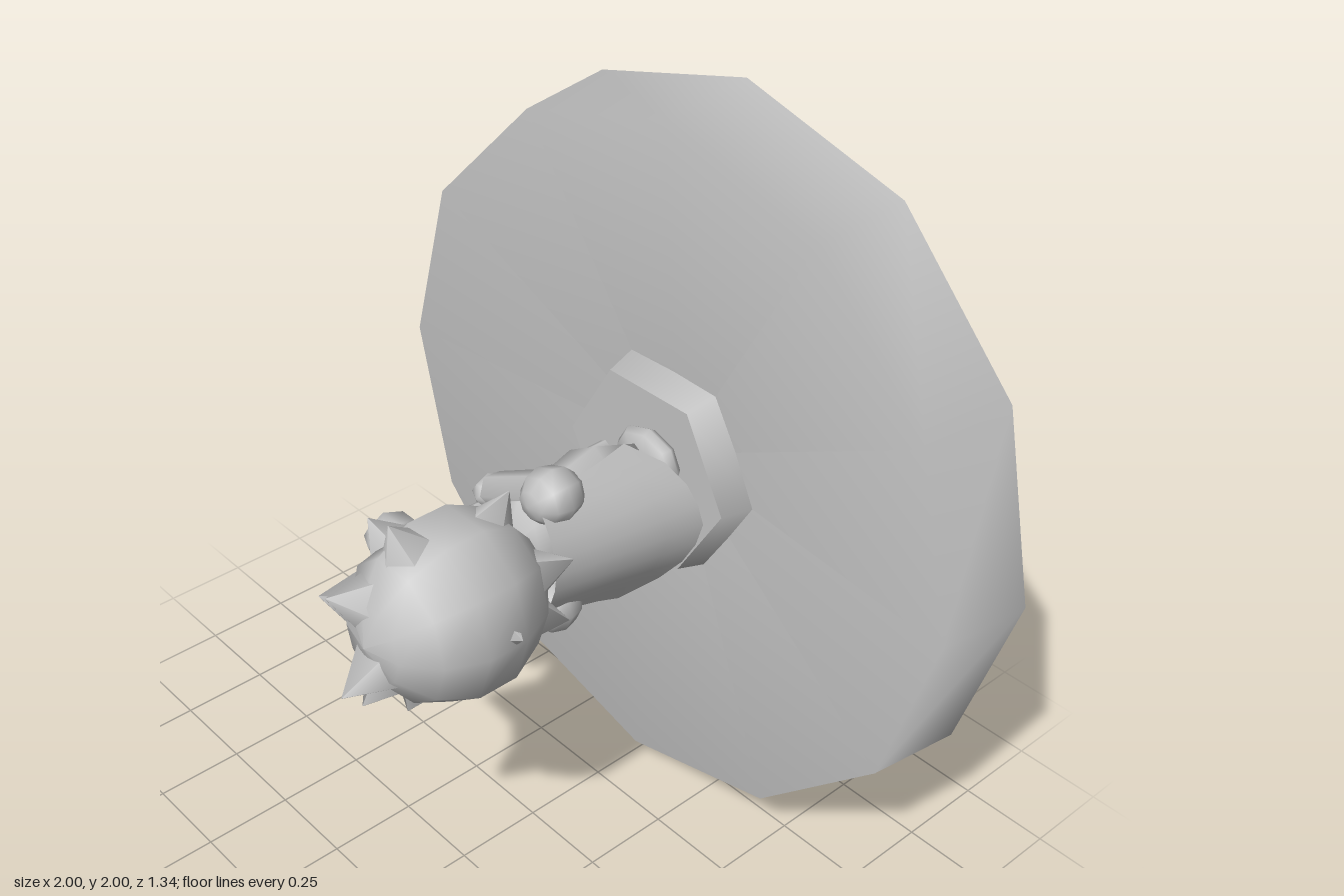
import * as THREE from 'three';

const V = (x, y, z) => new THREE.Vector3(x, y, z);

export function createModel() {
  const model = new THREE.Group();
  const stone = new THREE.MeshStandardMaterial({ color: 0xc0c0c0, side: THREE.DoubleSide });
  stone.name = 'plain grey';

  const add = (name, geometry) => {
    const mesh = new THREE.Mesh(geometry, stone);
    mesh.name = name;
    model.add(mesh);
    return mesh;
  };

  // Low-sided ellipsoid with its poles along z
  const blob = (name, c, s, w = 8, h = 6) => {
    const g = new THREE.SphereGeometry(1, w, h).rotateX(Math.PI / 2);
    g.scale(...s).translate(...c);
    return add(name, g);
  };

  // Tapered cylinder from a to b
  const limb = (name, a, b, ra, rb, sides = 6) => {
    const d = b.clone().sub(a);
    const g = new THREE.CylinderGeometry(rb, ra, d.length(), sides);
    g.applyQuaternion(new THREE.Quaternion().setFromUnitVectors(V(0, 1, 0), d.clone().normalize()));
    const m = a.clone().add(b).multiplyScalar(0.5);
    g.translate(m.x, m.y, m.z);
    return add(name, g);
  };

  // Turned profile of [radius, z] points around the z axis
  const turned = (name, profile, sides, x, y, sx = 1, sy = 1) => {
    const g = new THREE.LatheGeometry(profile.map(p => new THREE.Vector2(...p)), sides);
    g.rotateX(Math.PI / 2).scale(sx, sy, 1).translate(x, y, 0);
    return add(name, g);
  };

  // Twelve-sided dish, open at the back, with a sunken centre
  turned('dish', [[1, -0.67], [0.97, -0.4], [0, -0.505]], 12, 0, 1);

  // Hexagonal pedestal under the figure
  const hex = new THREE.CylinderGeometry(0.28, 0.31, 0.107, 6, 1, false, Math.PI / 2);
  add('pedestal', hex.rotateX(Math.PI / 2).translate(0, 1, -0.4385));

  // Body, standing along +z and facing -x
  turned('torso', [[0, -0.32], [0.09, -0.31], [0.125, -0.17], [0.1, -0.03], [0.09, 0.08], [0, 0.12]], 8, 0.035, 1, 1, 1.5);

  for (const s of [-1, 1]) {
    blob('boot', [0.05, 1 + s * 0.085, -0.347], [0.11, 0.085, 0.04]);
    blob('shoulder', [0.1, 1 + s * 0.165, 0.025], [0.08, 0.075, 0.08]);
    limb('arm', V(0.09, 1 + s * 0.165, 0.02), V(-0.13, 1 + s * 0.05, 0.01), 0.06, 0.05);
    blob('hand', [-0.15, 1 + s * 0.035, 0], [0.052, 0.045, 0.06], 6, 4);
  }

  limb('staff', V(-0.15, 1, -0.39), V(-0.15, 1, 0.11), 0.02, 0.02);

  // Cape, curved around the back with a pointed hem
  const cape = new THREE.PlaneGeometry(2, 1, 8, 4);
  const p = cape.attributes.position;
  for (let i = 0; i < p.count; i++) {
    const t = p.getX(i);
    const u = 0.5 - p.getY(i);
    const hem = -0.33 + 0.05 * Math.abs(t) + 0.1 * t ** 4;
    const width = 0.19 + 0.05 * u * u;
    const back = 0.19 + 0.08 * u;
    p.setXYZ(i, back - (0.08 + 0.06 * u) * t * t, 1 + t * width, THREE.MathUtils.lerp(0.09, hem, u));
  }
  cape.computeVertexNormals();
  add('cape', cape);

  // Head
  blob('head', [0.05, 1, 0.29], [0.19, 0.19, 0.2], 10, 7);
  blob('nose', [-0.205, 1, 0.285], [0.065, 0.06, 0.075], 6, 4);

  // Hair mass, flattened where the face shows
  const hair = new THREE.SphereGeometry(1, 10, 7).rotateX(Math.PI / 2);
  hair.scale(0.23, 0.245, 0.25).translate(0.1, 1, 0.35);
  const h = hair.attributes.position;
  for (let i = 0; i < h.count; i++) h.setX(i, Math.max(h.getX(i), -0.04));
  hair.computeVertexNormals();
  add('hair', hair);

  // Pointed tufts, listed by tip
  const tips = [
    [0.1, 0.89, 0.67], [0.02, 1.12, 0.64], [-0.18, 0.95, 0.53], [0.07, 1.28, 0.49],
    [0.08, 0.72, 0.47], [0.05, 0.78, 0.58], [0.1, 1.24, 0.16], [0.15, 0.79, 0.12],
    [0.24, 1.08, 0.08], [0.24, 0.9, 0.09], [-0.11, 1.17, 0.42], [-0.11, 0.83, 0.4],
    [0.335, 1.02, 0.32],
  ];
  const core = V(0.1, 1, 0.36);
  for (const tip of tips) {
    const end = V(...tip);
    const base = core.clone().lerp(end, 0.5);
    limb('hairTuft', base, end, 0.11, 0.001, 5);
  }

  return model;
}
